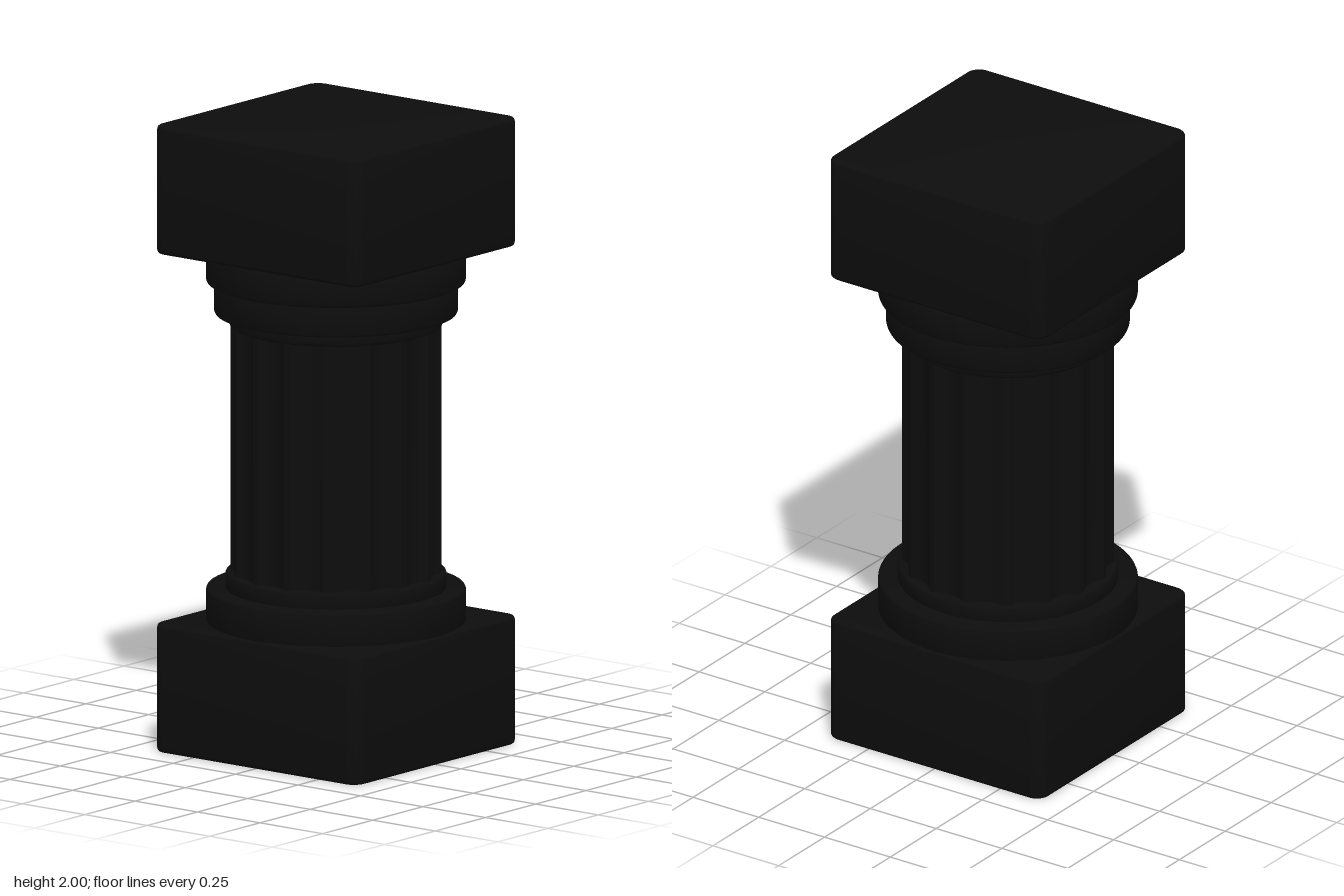
import * as THREE from 'three';
import { toCreasedNormals } from 'three/addons/utils/BufferGeometryUtils.js';

const material = new THREE.MeshStandardMaterial({ color: 0x0d0d0d });

function add(group, name, geometry, y = 0) {
  const mesh = new THREE.Mesh(geometry, material);
  mesh.name = name;
  mesh.position.y = y;
  group.add(mesh);
}

// Square block with rounded upright corners and softly bevelled rims
function blockGeometry(size, height) {
  const bevel = 0.012, h = size / 2 - bevel, r = 0.035;
  const s = new THREE.Shape();
  s.absarc(h - r, h - r, r, 0, Math.PI / 2);
  s.absarc(r - h, h - r, r, Math.PI / 2, Math.PI);
  s.absarc(r - h, r - h, r, Math.PI, Math.PI * 1.5);
  s.absarc(h - r, r - h, r, Math.PI * 1.5, Math.PI * 2);
  const g = new THREE.ExtrudeGeometry(s, {
    depth: height - 2 * bevel, bevelThickness: bevel, bevelSize: bevel,
    bevelSegments: 3, curveSegments: 8,
  });
  g.rotateX(-Math.PI / 2).translate(0, bevel, 0);
  return toCreasedNormals(g, 0.6);
}

// Round moulding with a small rounded edge at top and bottom
function ringGeometry(radius, height, b = 0.008) {
  const profile = [
    [0, 0], [radius - b, 0], [radius - b * 0.3, b * 0.3], [radius, b],
    [radius, height - b], [radius - b * 0.3, height - b * 0.3], [radius - b, height], [0, height],
  ].map(([x, y]) => new THREE.Vector2(x, y));
  return toCreasedNormals(new THREE.LatheGeometry(profile, 96), 0.9);
}

// Column body with concave flutes separated by narrow ridges
function shaftGeometry(radius, height, flutes, depth) {
  const g = new THREE.CylinderGeometry(radius, radius, height, flutes * 12, 1, true);
  const p = g.attributes.position;
  const step = (Math.PI * 2) / flutes;
  for (let i = 0; i < p.count; i++) {
    const a = Math.atan2(p.getX(i), p.getZ(i));
    const u = (a / step - Math.round(a / step)) / 0.42;
    const r = radius - depth * Math.max(0, 1 - u * u);
    p.setX(i, r * Math.sin(a));
    p.setZ(i, r * Math.cos(a));
  }
  return toCreasedNormals(g.translate(0, height / 2, 0), 0.5);
}

export function createModel() {
  const column = new THREE.Group();
  column.name = 'column';

  // Square plinth and matching top block
  add(column, 'plinth', blockGeometry(0.82, 0.41));
  add(column, 'topBlock', blockGeometry(0.82, 0.41), 1.59);

  // Stacked round mouldings: name, radius, bottom, top
  [
    ['baseRing', 0.405, 0.4, 0.515],
    ['baseCollar', 0.345, 0.505, 0.565],
    ['neckRing', 0.333, 1.35, 1.4],
    ['lowerCapitalRing', 0.38, 1.39, 1.5],
    ['upperCapitalRing', 0.405, 1.49, 1.6],
  ].forEach(([name, r, y0, y1]) => add(column, name, ringGeometry(r, y1 - y0), y0));

  add(column, 'flutedShaft', shaftGeometry(0.33, 0.82, 16, 0.022), 0.55);
  return column;
}
